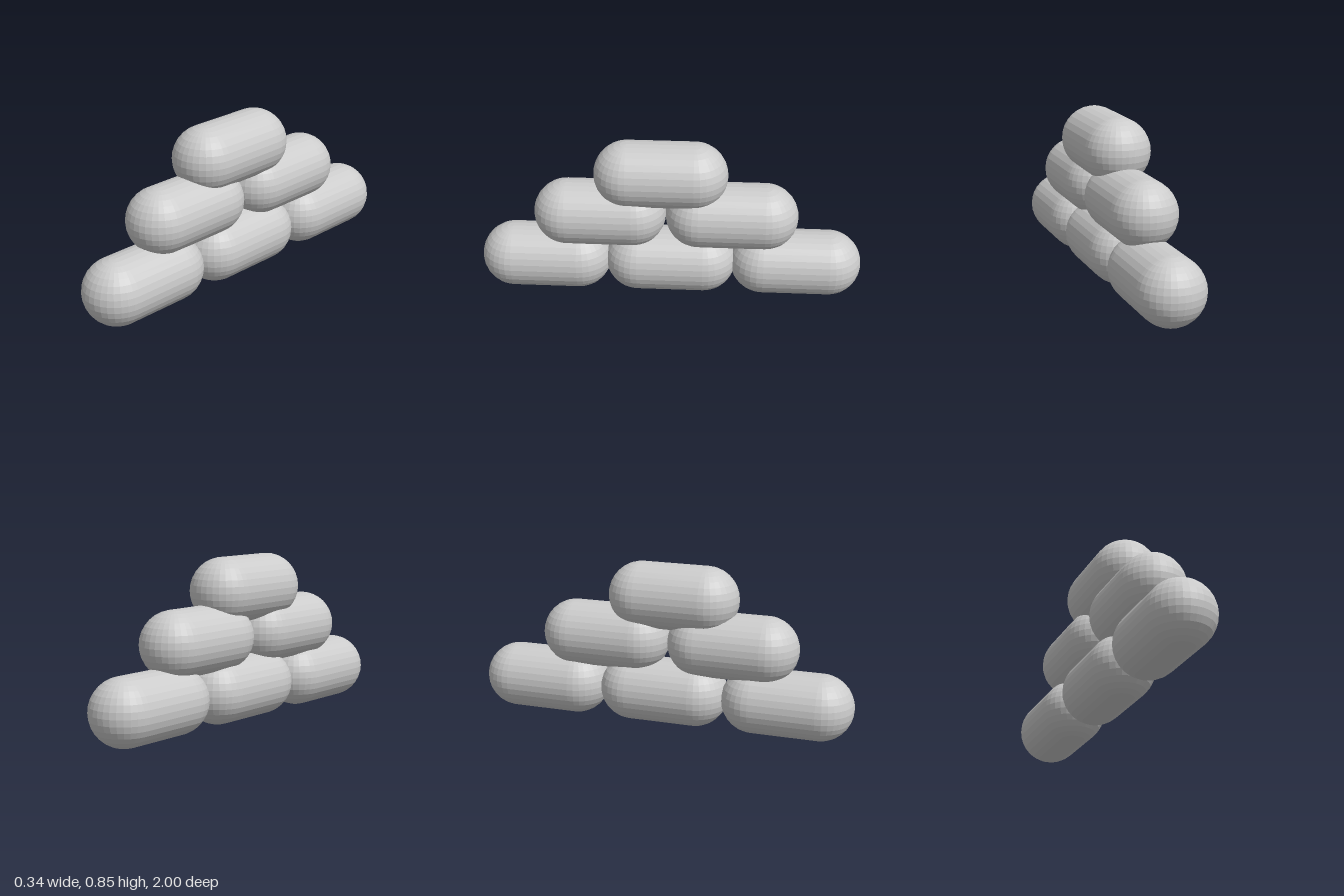
import * as THREE from 'three';

const R = 0.1715; // capsule radius
const L = 0.343; // straight length between the cap centres

export function createModel() {
  const model = new THREE.Group();
  model.name = 'capsuleStack';
  const material = new THREE.MeshStandardMaterial({ color: 0xcccccc, flatShading: true });

  // Straight barrel along z, and a half-sphere cap with its poles along y
  const barrel = new THREE.CylinderGeometry(R, R, L, 32, 1, true).rotateX(Math.PI / 2);
  const cap = new THREE.SphereGeometry(R, 16, 16, 0, Math.PI);

  function addCapsule(name, y, z) {
    const capsule = new THREE.Group();
    capsule.name = name;
    const body = new THREE.Mesh(barrel, material);
    body.name = 'barrel';
    const front = new THREE.Mesh(cap, material);
    front.name = 'frontCap';
    front.position.z = L / 2;
    const back = new THREE.Mesh(cap, material);
    back.name = 'backCap';
    back.position.z = -L / 2;
    back.rotation.y = Math.PI;
    capsule.add(body, front, back);
    capsule.position.set(0, y, z);
    model.add(capsule);
  }

  // Three rows: centre height and the z of each capsule
  const rows = [
    { name: 'bottomCapsule', y: 0.172, zs: [0.657, 0, -0.657] },
    { name: 'middleCapsule', y: 0.449, zs: [0.367, -0.316] },
    { name: 'topCapsule', y: 0.683, zs: [0.051] },
  ];
  for (const { name, y, zs } of rows) {
    zs.forEach((z, i) => addCapsule(name + (i + 1), y, z));
  }
  return model;
}
